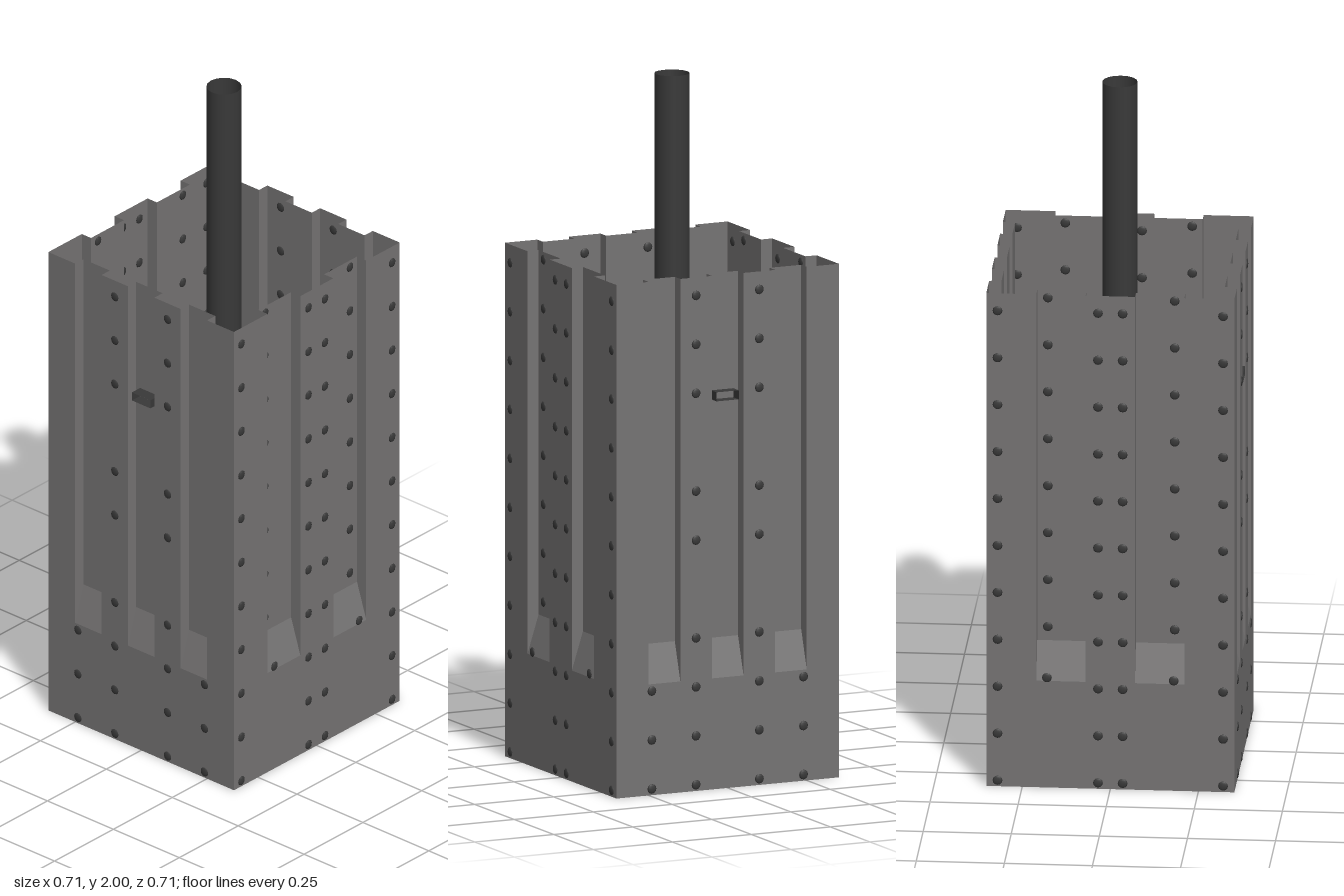
import * as THREE from 'three';

const HALF = 0.352, DEPTH = 0.035, TOP = 1.48, SLOPE_LOW = 0.32, SLOPE_HIGH = 0.43;

// One thin ribbed wall facing +z; recesses are [start, end] pairs along x.
function wallGeometry(recesses) {
  const p = [];
  const quad = (a, b, c, d) => p.push(...a, ...b, ...c, ...a, ...c, ...d);
  const flat = (x0, x1, y0, y1, z) => quad([x0, y0, z], [x1, y0, z], [x1, y1, z], [x0, y1, z]);
  const inner = HALF - DEPTH;
  flat(-HALF, HALF, 0, SLOPE_LOW, HALF);
  let x = -HALF;
  for (const [a, b] of recesses) {
    flat(x, a, SLOPE_LOW, TOP, HALF);
    flat(a, b, SLOPE_HIGH, TOP, inner);
    // sloped foot of the recess
    quad([a, SLOPE_LOW, HALF], [b, SLOPE_LOW, HALF], [b, SLOPE_HIGH, inner], [a, SLOPE_HIGH, inner]);
    // recess cheeks
    quad([a, SLOPE_LOW, HALF], [a, SLOPE_HIGH, inner], [a, TOP, inner], [a, TOP, HALF]);
    quad([b, SLOPE_HIGH, inner], [b, SLOPE_LOW, HALF], [b, TOP, HALF], [b, TOP, inner]);
    x = b;
  }
  flat(x, HALF, SLOPE_LOW, TOP, HALF);
  const g = new THREE.BufferGeometry();
  g.setAttribute('position', new THREE.Float32BufferAttribute(p, 3));
  g.computeVertexNormals();
  return g;
}

export function createModel() {
  const group = new THREE.Group();
  const material = (name, color) => {
    const m = new THREE.MeshStandardMaterial({ color, side: THREE.DoubleSide });
    m.name = name;
    return m;
  };
  const wallGrey = material('wallGrey', 0x757373);
  const darkSteel = material('darkSteel', 0x393939);
  const black = material('black', 0x0c0c0c);

  const add = (parent, name, geometry, mat) => {
    const mesh = new THREE.Mesh(geometry, mat);
    mesh.name = name;
    parent.add(mesh);
    return mesh;
  };

  // Four ribbed walls with rivet columns
  const threeRibs = [[-0.25, -0.15], [-0.05, 0.05], [0.15, 0.25]];
  const twoRibs = [[-0.21, -0.07], [0.07, 0.21]];
  const rivet = new THREE.SphereGeometry(0.014, 8, 6).scale(1, 1, 0.3);
  ['frontWall', 'leftWall', 'backWall', 'rightWall'].forEach((name, i) => {
    const side = new THREE.Group();
    side.name = name;
    side.rotation.y = i * Math.PI / 2;
    group.add(side);
    const wide = i % 2 === 0;
    add(side, 'panel', wallGeometry(wide ? threeRibs : twoRibs), wallGrey);
    const put = (x, y, z) => add(side, 'rivet', rivet, darkSteel).position.set(x, y, z);
    for (const s of [-1, 1]) {
      for (let k = 0; k < 11; k++) {
        const y = 0.018 + k * 0.141;
        if (wide) {
          if (k !== 4 && k !== 7) put(s * 0.1, y, HALF);
          if (k < 3) put(s * 0.24, y, HALF);
        } else {
          put(s * 0.32, y, HALF);
          put(s * 0.035, y, HALF);
          if (k > 1) put(s * 0.18, y + 0.03, k === 2 ? HALF : HALF - DEPTH);
        }
      }
    }
  });

  // Open-ended flat cross beams
  const beamGeometry = new THREE.CylinderGeometry(Math.SQRT1_2, Math.SQRT1_2, 1, 4, 1, true)
    .toNonIndexed().rotateY(Math.PI / 4).rotateX(Math.PI / 2);
  beamGeometry.computeVertexNormals();
  const upper = add(group, 'upperBeam', beamGeometry, darkSteel);
  upper.scale.set(0.07, 0.026, HALF * 2);
  upper.position.y = 1.13;
  const lower = add(group, 'lowerBeam', beamGeometry, darkSteel);
  lower.scale.set(0.07, 0.026, HALF * 2);
  lower.rotation.y = Math.PI / 2;
  lower.position.y = 0.6;

  // Hollow central pole standing in a black collar
  add(group, 'pole', new THREE.CylinderGeometry(0.05, 0.05, 1.37, 16, 1, true), darkSteel).position.y = 1.315;
  add(group, 'collar', new THREE.CylinderGeometry(0.08, 0.093, 0.06, 16), black).position.y = 0.645;

  return group;
}
